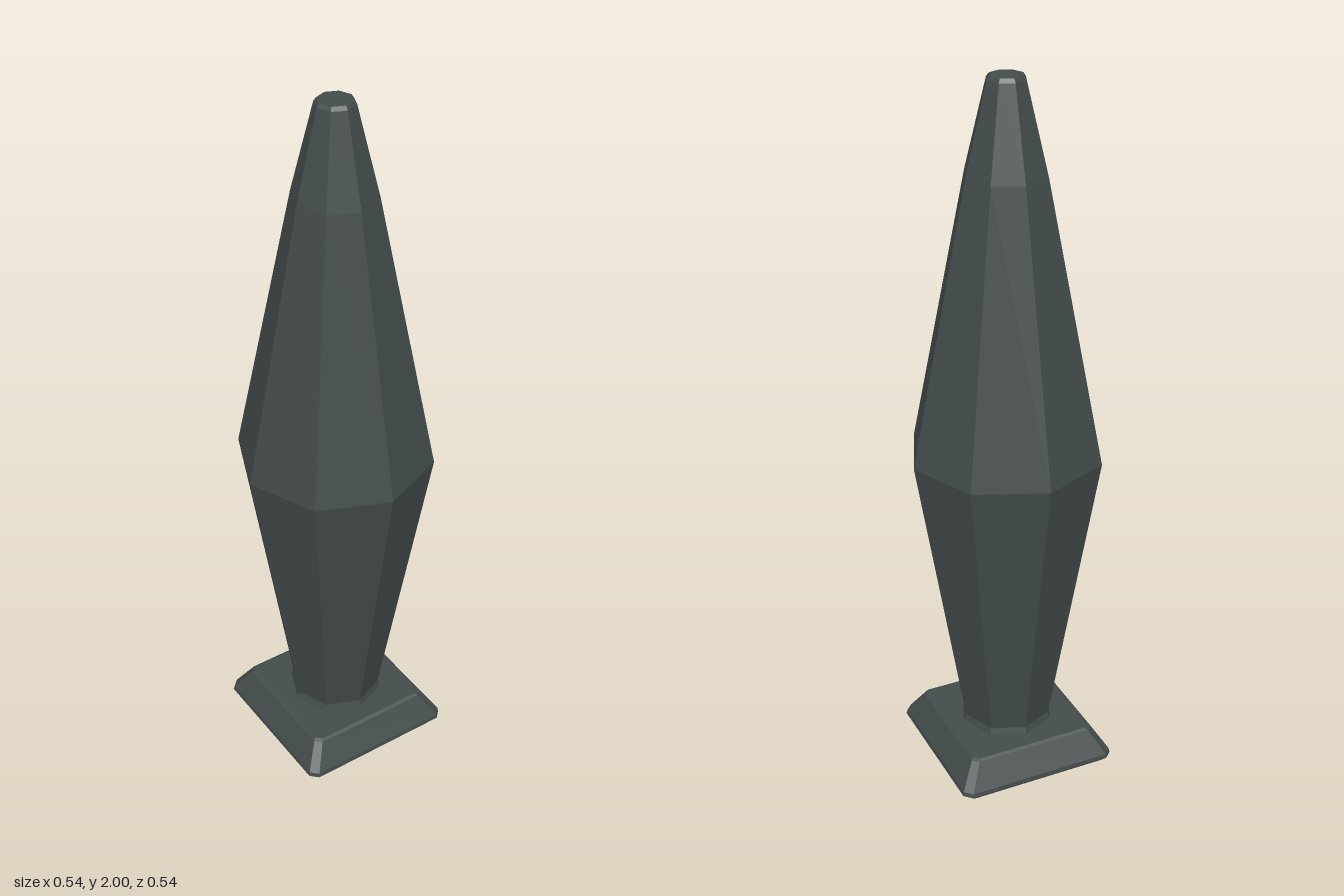
import * as THREE from 'three';

const stone = new THREE.MeshStandardMaterial({ color: 0x434b4b });
stone.name = 'dark slate';

// Eight-sided lathe from [radius, height] pairs, listed from bottom to top
const lathe8 = (profile) =>
  new THREE.LatheGeometry(profile.map(([r, y]) => new THREE.Vector2(r, y)), 8);

// Separate the faces so that every edge stays sharp
function faceted(geometry) {
  const flat = geometry.toNonIndexed();
  flat.computeVertexNormals();
  return flat;
}

function addPart(group, name, geometry) {
  const mesh = new THREE.Mesh(faceted(geometry), stone);
  mesh.name = name;
  group.add(mesh);
}

// Move the rings of an eight-sided lathe onto squares with clipped corners
function squareOff(geometry, profile) {
  const pos = geometry.attributes.position;
  const k = 0.91; // share of the half side left straight
  const corners = [[k, 1], [1, k], [1, -k], [k, -1], [-k, -1], [-1, -k], [-1, k], [-k, 1]];
  for (let i = 0; i <= 8; i++) {
    const [cx, cz] = corners[i % 8];
    profile.forEach(([half, y], j) => pos.setXYZ(i * profile.length + j, cx * half, y, cz * half));
  }
  return geometry;
}

export function createModel() {
  const group = new THREE.Group();
  group.name = 'obelisk';

  // Square foot with sloping sides and a hollow underside
  const foot = [
    [0, 0.04], [0.148, 0.04], [0.156, 0], [0.224, 0], [0.235, 0.012],
    [0.233, 0.024], [0.19, 0.095], [0.182, 0.1], [0, 0.1],
  ];
  addPart(group, 'foot', squareOff(lathe8(foot), foot));

  // Octagonal shaft, widest at mid height and cut flat at the tip
  addPart(group, 'shaft', lathe8([
    [0.138, 0.095], [0.13, 0.12], [0.272, 0.97], [0.113, 1.75], [0.053, 1.99], [0.046, 2], [0, 2],
  ]));

  return group;
}
